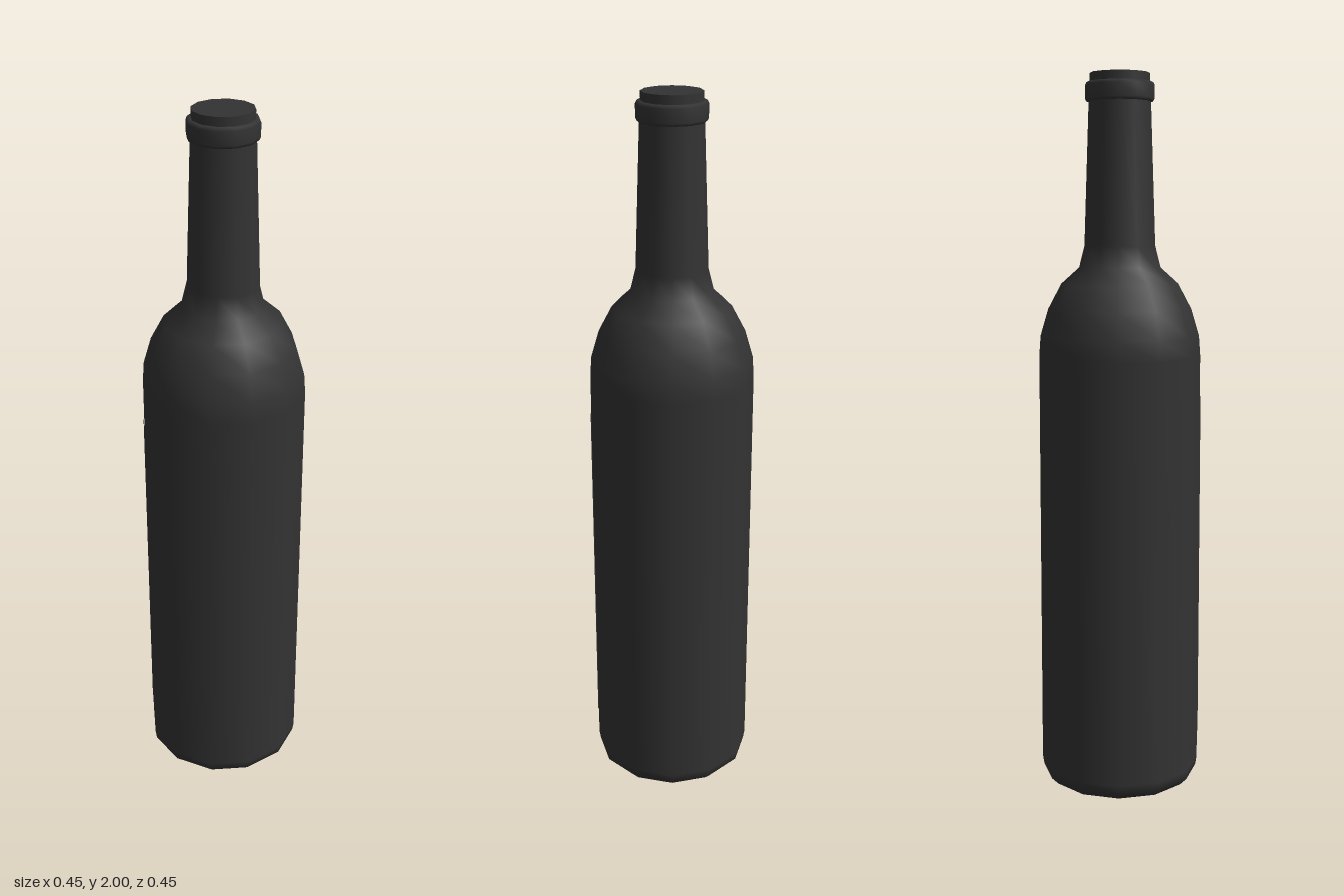
import * as THREE from 'three';

const SIDES = 12;
const glass = new THREE.MeshStandardMaterial({ color: 0x333333 });
const paper = new THREE.MeshStandardMaterial({ color: 0x333333, side: THREE.DoubleSide });

// Revolve a [radius, height] profile; a partial sweep starts at angle start from +z
function turned(name, profile, material = glass, sides = SIDES, start = 0, sweep = Math.PI * 2) {
  const points = profile.map(([r, y]) => new THREE.Vector2(r, y));
  const mesh = new THREE.Mesh(new THREE.LatheGeometry(points, sides, start, sweep), material);
  mesh.name = name;
  return mesh;
}

export function createModel() {
  const bottle = new THREE.Group();
  bottle.name = 'bottle';

  // Hollow punt under the base
  bottle.add(turned('punt', [[0, 0.11], [0.05, 0.1], [0.11, 0.055], [0.155, 0.012], [0.18, 0]]));

  // Base edge, straight body, shoulder and tapering neck
  bottle.add(turned('body', [
    [0.18, 0], [0.202, 0.005], [0.222, 0.025], [0.226, 0.05], [0.226, 1.23], [0.222, 1.285],
    [0.2, 1.36], [0.163, 1.43], [0.113, 1.475], [0.098, 1.535], [0.085, 1.93],
  ]));

  // Raised ring around the mouth
  bottle.add(turned('collar', [
    [0.08, 1.924], [0.091, 1.924], [0.095, 1.932], [0.095, 1.968], [0.091, 1.976], [0.08, 1.976],
  ]));

  // Lip and closed top
  bottle.add(turned('lip', [[0.082, 1.97], [0.082, 2]]));
  bottle.add(turned('mouthCap', [[0.082, 2], [0, 2]]));

  // Thin label wrapped over the front faces
  bottle.add(turned('label', [[0.228, 0.13], [0.228, 1.115]], paper, 4, -Math.PI / 3, Math.PI * 2 / 3));

  return bottle;
}
